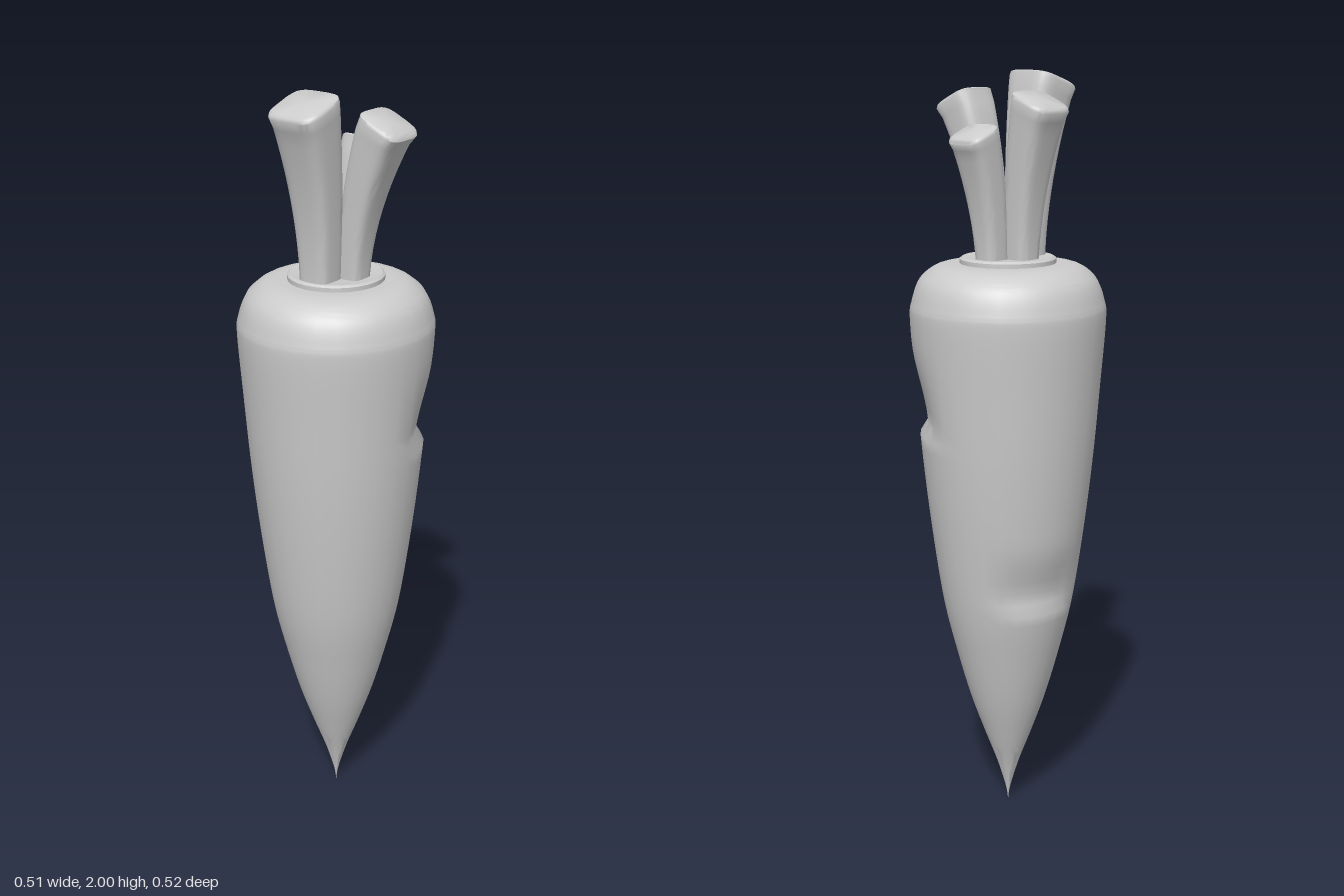
import * as THREE from 'three';
import { mergeVertices, toCreasedNormals } from 'three/addons/utils/BufferGeometryUtils.js';

const material = new THREE.MeshStandardMaterial({ color: 0xcccccc });
const { lerp, smoothstep } = THREE.MathUtils;

// Bites in the root: direction around y, height of the sharp lower edge, fade height, depth
const dents = [
  { dir: new THREE.Vector2(-1, -0.3).normalize(), y: 0.64, fade: 0.16, depth: 0.021 },
  { dir: new THREE.Vector2(0.8, -0.7).normalize(), y: 1.1, fade: 0.22, depth: 0.024 },
];

function dentAt(x, y, z) {
  const r = Math.hypot(x, z) || 1;
  let total = 0;
  for (const d of dents) {
    const facing = smoothstep((x * d.dir.x + z * d.dir.y) / r, 0.7, 0.95);
    const height = smoothstep(y, d.y - 0.03, d.y) * (1 - smoothstep(y, d.y, d.y + d.fade));
    total += d.depth * facing * height;
  }
  return total;
}

// Tapered root turned on a lathe, then dented
function makeRoot() {
  const outline = [
    [0, 0], [0.006, 0.04], [0.03, 0.12], [0.064, 0.21], [0.103, 0.32], [0.14, 0.45],
    [0.176, 0.6], [0.206, 0.8], [0.229, 1.0], [0.246, 1.2], [0.259, 1.37], [0.254, 1.42],
    [0.235, 1.47], [0.2, 1.502], [0.165, 1.513], [0.14, 1.515],
  ].map(([r, y]) => new THREE.Vector2(r, y));
  const points = new THREE.SplineCurve(outline).getPoints(90);
  points[0].x = 0;
  // Raised crown rim
  for (const [r, y] of [[0.127, 1.515], [0.127, 1.526], [0.12, 1.531], [0.11, 1.529], [0, 1.527]]) {
    points.push(new THREE.Vector2(r, y));
  }
  let geometry = new THREE.LatheGeometry(points, 28);
  geometry.deleteAttribute('uv');
  geometry.deleteAttribute('normal');
  geometry = mergeVertices(geometry, 1e-5);
  const pos = geometry.attributes.position;
  for (let i = 0; i < pos.count; i++) {
    const x = pos.getX(i), y = pos.getY(i), z = pos.getZ(i);
    const r = Math.hypot(x, z);
    const k = r > 0.01 ? 1 - dentAt(x, y, z) / r : 1;
    pos.setXYZ(i, x * k * 0.975, y, z * k);
  }
  return toCreasedNormals(geometry, 0.7);
}

// Flaring stalk with rounded-square sections, leaning towards local +z.
// inner and outer: [z at base, z at top, y at top]; width: [base, top]
function makeStalk({ inner, outer, width, shift }) {
  const sides = 24, steps = 12, baseY = 1.5;
  const vertices = [], index = [];
  const addRing = (t, scale, lift) => {
    const bend = t ** 1.9;
    const z0 = lerp(inner[0], inner[1], bend), z1 = lerp(outer[0], outer[1], bend);
    const y0 = lerp(baseY, inner[2], t), y1 = lerp(baseY, outer[2], t);
    const w = lerp(width[0], width[1], t ** 1.3) / 2;
    for (let i = 0; i < sides; i++) {
      const a = ((i + 0.5) / sides) * Math.PI * 2;
      const c = Math.cos(a), s = Math.sin(a);
      const u = Math.sign(c) * Math.abs(c) ** 0.5 * scale;
      const v = Math.sign(s) * Math.abs(s) ** 0.5 * scale;
      vertices.push(shift * t + u * w, lerp(y0, y1, (v + 1) / 2) + lift, lerp(z0, z1, (v + 1) / 2));
    }
  };
  for (let j = 0; j <= steps; j++) addRing(j / steps, 1, j === steps ? -0.012 : 0);
  // Softened edge and cap
  addRing(1, 0.97, -0.004);
  addRing(1, 0.88, 0);
  addRing(1, 0, 0.002);
  for (let j = 0; j < steps + 3; j++) {
    for (let i = 0; i < sides; i++) {
      const a = j * sides + i, b = j * sides + ((i + 1) % sides);
      index.push(a, a + sides, b);
      if (j < steps + 2) index.push(b, a + sides, b + sides);
    }
  }
  const geometry = new THREE.BufferGeometry();
  geometry.setAttribute('position', new THREE.Float32BufferAttribute(vertices, 3));
  geometry.setIndex(index);
  return toCreasedNormals(geometry, 0.8);
}

const stalks = [
  { name: 'frontStalk', turn: 0, inner: [0.022, 0.07, 2.0], outer: [0.11, 0.207, 1.955], width: [0.085, 0.148], shift: 0.009 },
  { name: 'leftStalk', turn: Math.PI / 2, inner: [0.02, 0.1, 1.957], outer: [0.088, 0.211, 1.905], width: [0.07, 0.128], shift: 0.001 },
  { name: 'backStalk', turn: Math.PI, inner: [0.024, 0.07, 1.87], outer: [0.095, 0.164, 1.832], width: [0.066, 0.112], shift: -0.008 },
  { name: 'rightStalk', turn: -Math.PI / 2, inner: [0.01, 0.055, 1.952], outer: [0.085, 0.167, 1.907], width: [0.07, 0.128], shift: -0.001 },
];

export function createModel() {
  const model = new THREE.Group();
  model.name = 'carrot';

  const root = new THREE.Mesh(makeRoot(), material);
  root.name = 'root';
  model.add(root);

  for (const stalk of stalks) {
    const mesh = new THREE.Mesh(makeStalk(stalk), material);
    mesh.name = stalk.name;
    mesh.rotation.y = stalk.turn;
    model.add(mesh);
  }
  return model;
}
